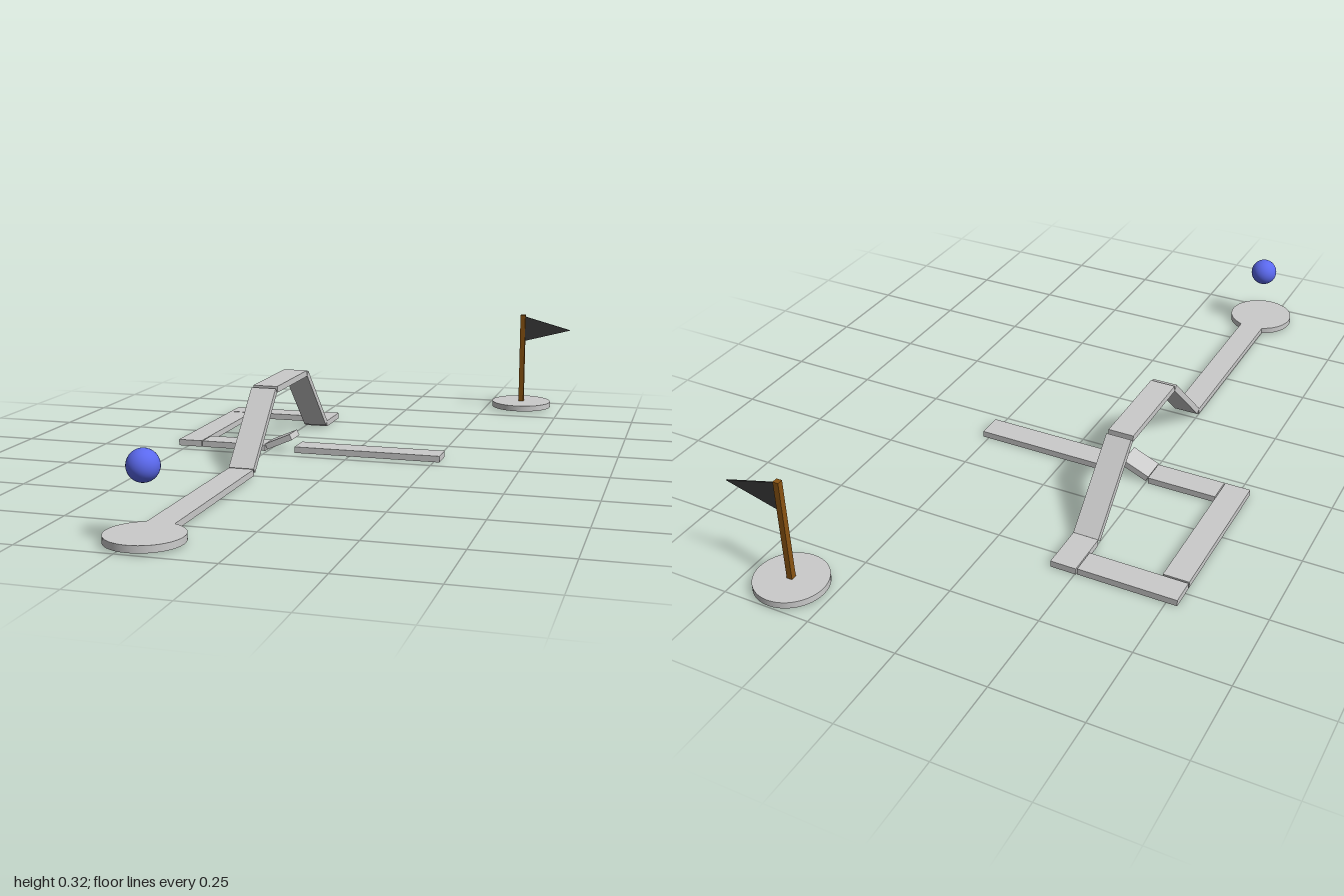
import * as THREE from 'three';

const W = 0.072; // track width
const T = 0.018; // track thickness

const paint = (color) => new THREE.MeshStandardMaterial({ color });

export function createModel() {
  const model = new THREE.Group();
  const grey = paint(0xcccccc);

  const add = (name, geometry, material, x, y, z) => {
    const mesh = new THREE.Mesh(geometry, material);
    mesh.name = name;
    mesh.position.set(x, y, z);
    model.add(mesh);
    return mesh;
  };

  // Flat track piece from its footprint and underside height
  const flat = (name, x0, x1, z0, z1, y0 = 0) =>
    add(name, new THREE.BoxGeometry(x1 - x0, T, z1 - z0), grey,
      (x0 + x1) / 2, y0 + T / 2, (z0 + z1) / 2);

  // Sloped track piece laid between two centre-line points
  const slope = (name, a, b) => {
    const from = new THREE.Vector3(...a), to = new THREE.Vector3(...b);
    const mid = from.clone().lerp(to, 0.5);
    const mesh = add(name, new THREE.BoxGeometry(W, T, from.distanceTo(to)), grey, ...mid);
    mesh.lookAt(to);
  };

  // Lane running back from the start, over the bridge
  const cx = -0.217, l = cx - W / 2, r = cx + W / 2;
  flat('startTrack', l, r, 0.268, 0.812, 0.005);
  slope('bridgeRampUp', [cx, 0.018, 0.262], [cx, 0.206, 0.072]);
  flat('bridgeDeck', l, r, -0.214, 0.064, 0.198);
  slope('bridgeRampDown', [cx, 0.206, -0.222], [cx, 0.012, -0.418]);
  flat('cornerTrack', l, r, -0.555, -0.424);

  // Loop turning back under the bridge
  flat('backTrack', -0.53, -0.256, -0.553, -0.481);
  flat('sideTrack', -0.53, -0.458, -0.476, -0.043);
  flat('returnTrack', -0.455, -0.257, -0.115, -0.043);
  slope('jumpRamp', [-0.254, 0.013, -0.079], [-0.178, 0.046, -0.079]);
  flat('landingTrack', -0.166, 0.267, -0.115, -0.043);

  // Start and goal discs
  const disc = new THREE.CylinderGeometry(0.0975, 0.0975, T, 48);
  add('startDisc', disc, grey, cx, 0.014, 0.9025);
  add('goalDisc', disc, grey, 0.367, 0.014, -0.9025);

  // Ball hovering over the start
  add('ball', new THREE.SphereGeometry(0.04, 32, 20), paint(0x5b69ee), cx, 0.182, 0.9);

  // Goal flag
  add('flagPole', new THREE.BoxGeometry(0.016, 0.296, 0.016), paint(0x8a5412), 0.367, 0.17, -0.9025);
  const pennant = new THREE.Shape([
    new THREE.Vector2(0, -0.041), new THREE.Vector2(0.152, 0), new THREE.Vector2(0, 0.041),
  ]);
  add('flag', new THREE.ExtrudeGeometry(pennant, { depth: 0.004, bevelEnabled: false }),
    paint(0x3a3a3a), 0.375, 0.271, -0.9045);

  return model;
}
